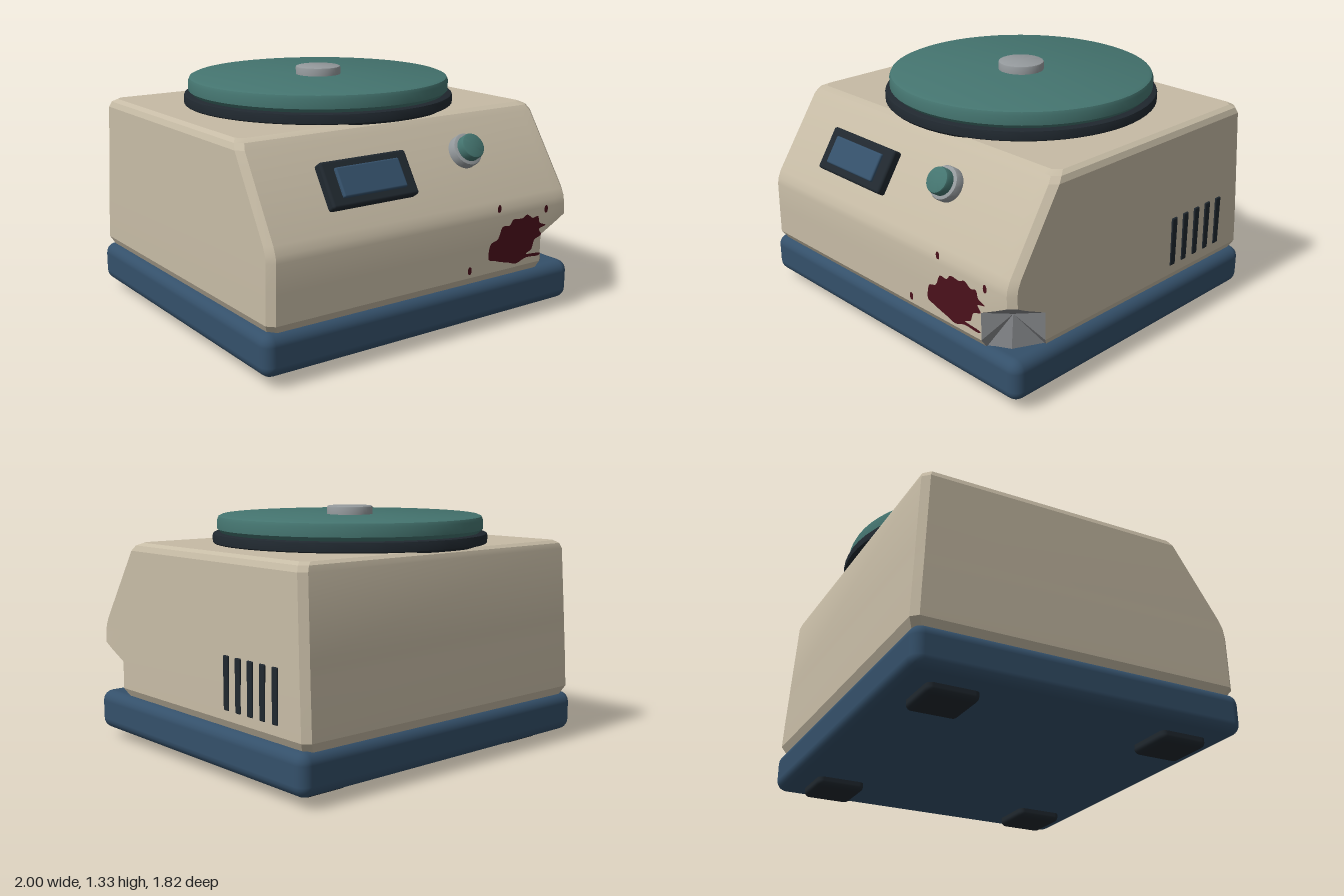
import * as THREE from 'three';
import { toCreasedNormals } from 'three/addons/utils/BufferGeometryUtils.js';
import { RoundedBoxGeometry } from 'three/addons/geometries/RoundedBoxGeometry.js';

const mat = (color, opts = {}) => {
  const m = new THREE.MeshStandardMaterial({ color, ...opts });
  return m;
};

export function createModel() {
  const root = new THREE.Group();
  const cream = mat(0xc6bba5), blue = mat(0x34506a), dark = mat(0x20282f);
  const teal = mat(0x44746f), steel = mat(0x94999c);
  const blood = mat(0x4a101b, { side: THREE.DoubleSide });
  const broken = mat(0x85878a, { side: THREE.DoubleSide, flatShading: true });

  const add = (name, geo, material, x = 0, y = 0, z = 0, parent = root) => {
    const m = new THREE.Mesh(geo, material);
    m.name = name;
    m.position.set(x, y, z);
    parent.add(m);
    return m;
  };
  const box = (w, h, d, r) => new RoundedBoxGeometry(w, h, d, 3, r);
  // Disc standing on y = 0 with softened rims
  const disc = (r, h, b, seg = 64) => toCreasedNormals(new THREE.LatheGeometry([
    [0, 0], [r - b, 0], [r, b], [r, h - b], [r - b * 0.3, h - b * 0.3], [r - b, h], [0, h],
  ].map(([x, y]) => new THREE.Vector2(x, y)), seg), 0.6);
  const fromPoints = (pts) => {
    const g = new THREE.BufferGeometry().setFromPoints(pts);
    g.computeVertexNormals();
    return g;
  };

  // Base tray and feet
  add('base', box(2, 0.22, 1.82, 0.06), blue, 0, 0.16, 0);
  for (const sx of [-1, 1]) for (const sz of [-1, 1]) {
    add('foot', box(0.27, 0.1, 0.27, 0.03), dark, sx * 0.73, 0.05, sz * 0.64);
  }

  // Housing: stacked loops [height, half width, front z, back z]
  const rows = [
    [0.26, 0.945, 0.87, -0.88], [0.31, 0.972, 0.905, -0.905],
    [0.46, 0.97, 0.905, -0.898], [0.61, 0.967, 0.905, -0.889],
    [0.645, 0.966, 0.9, -0.887], [0.69, 0.965, 0.88, -0.885],
    [1.085, 0.955, 0.625, -0.862], [1.115, 0.942, 0.598, -0.852],
    [1.13, 0.915, 0.56, -0.83],
  ];
  const notchRow = 2, notchFrom = 1, notchTo = 6;
  const notchLift = { 2: 0.05, 3: 0.09, 4: 0.09, 5: 0.06 };
  const b = 0.035;
  const loops = rows.map(([y, w, f, k], j) => [
    [b - w, f], [0.76, f], [0.86, f], [w - b, f],
    [w, f - b], [w, f - 0.09], [w, f - 0.22], [w, k + b],
    [w - b, k], [b - w, k], [-w, k + b], [-w, f - b],
  ].map(([x, z], i) => new THREE.Vector3(x, y + (j === notchRow ? notchLift[i] || 0 : 0), z)));

  const tris = [];
  const n = loops[0].length;
  for (let j = 0; j < loops.length - 1; j++) {
    for (let i = 0; i < n; i++) {
      // leave the broken front corner open
      if (j < notchRow && i >= notchFrom && i < notchTo) continue;
      const k = (i + 1) % n, lo = loops[j], hi = loops[j + 1];
      tris.push(lo[i], lo[k], hi[k], lo[i], hi[k], hi[i]);
    }
  }
  const top = loops[loops.length - 1];
  for (let i = 1; i < n - 1; i++) tris.push(top[0], top[i], top[i + 1]);
  add('housing', toCreasedNormals(fromPoints(tris), 0.3), cream);

  // Fractured faces inside the broken corner
  const inner = new THREE.Vector3(0.86, 0.45, 0.79);
  const rim = [
    loops[0][notchFrom], loops[1][notchFrom],
    ...loops[notchRow].slice(notchFrom, notchTo + 1),
    loops[1][notchTo], loops[0][notchTo], new THREE.Vector3(0.87, 0.26, 0.81),
  ];
  const shards = [];
  rim.forEach((p, i) => shards.push(rim[(i + 1) % rim.length], p, inner));
  add('brokenCorner', fromPoints(shards), broken);

  // Turntable
  const table = new THREE.Group();
  table.name = 'turntable';
  table.position.z = -0.12;
  root.add(table);
  add('platterRim', disc(0.75, 0.062, 0.012), dark, 0, 1.123, 0, table);
  add('platter', disc(0.725, 0.1, 0.025), teal, 0, 1.18, 0, table);
  add('centreCap', disc(0.125, 0.055, 0.008, 40), steel, 0, 1.27, 0, table);

  // Controls on the sloping panel: local z points out of the slope
  const slope = Math.atan2(0.255, 0.395);
  const onSlope = (name, x, y) => {
    const g = new THREE.Group();
    g.name = name;
    g.position.set(x, y, 0.88 - (y - 0.69) * (0.255 / 0.395));
    g.rotation.x = -slope;
    root.add(g);
    return g;
  };
  const display = onSlope('display', -0.32, 0.88);
  add('displayFrame', box(0.52, 0.24, 0.07, 0.015), dark, 0, 0, 0.015, display);
  add('displayScreen', box(0.385, 0.155, 0.05, 0.01), blue, 0, 0, 0.042, display);

  const button = onSlope('button', 0.342, 0.935);
  add('buttonCollar', disc(0.09, 0.06, 0.01, 32), steel, 0, 0, -0.01, button).rotation.x = Math.PI / 2;
  add('buttonCap', disc(0.07, 0.06, 0.012, 32), teal, 0, 0, 0.04, button).rotation.x = Math.PI / 2;

  // Side vents
  for (let i = 0; i < 5; i++) {
    add('vent', box(0.04, 0.275, 0.042, 0.006), dark, 0.956, 0.498, -0.295 - i * 0.096);
  }

  // Dried stain with stray drops
  const outline = [
    [0.375, 0.42], [0.39, 0.47], [0.44, 0.49], [0.47, 0.55], [0.52, 0.55], [0.55, 0.58],
    [0.61, 0.575], [0.65, 0.59], [0.69, 0.565], [0.73, 0.57], [0.745, 0.53], [0.79, 0.51],
    [0.74, 0.495], [0.76, 0.46], [0.71, 0.44], [0.69, 0.39], [0.65, 0.37], [0.75, 0.36],
    [0.74, 0.345], [0.65, 0.35], [0.58, 0.33], [0.52, 0.345], [0.46, 0.36], [0.43, 0.37], [0.38, 0.385],
  ].map(([x, y]) => new THREE.Vector2(x, y));
  const stain = new THREE.Shape(new THREE.SplineCurve([...outline, outline[0]]).getPoints(100));
  add('stain', new THREE.ShapeGeometry(stain), blood, 0, 0, 0.909);
  for (const [x, y, z] of [[0.45, 0.65, 0.902], [0.79, 0.6, 0.909], [0.247, 0.35, 0.909]]) {
    add('stainDrop', new THREE.CircleGeometry(0.02, 16), blood, x, y, z).scale.set(0.65, 1.1, 1);
  }

  return root;
}
